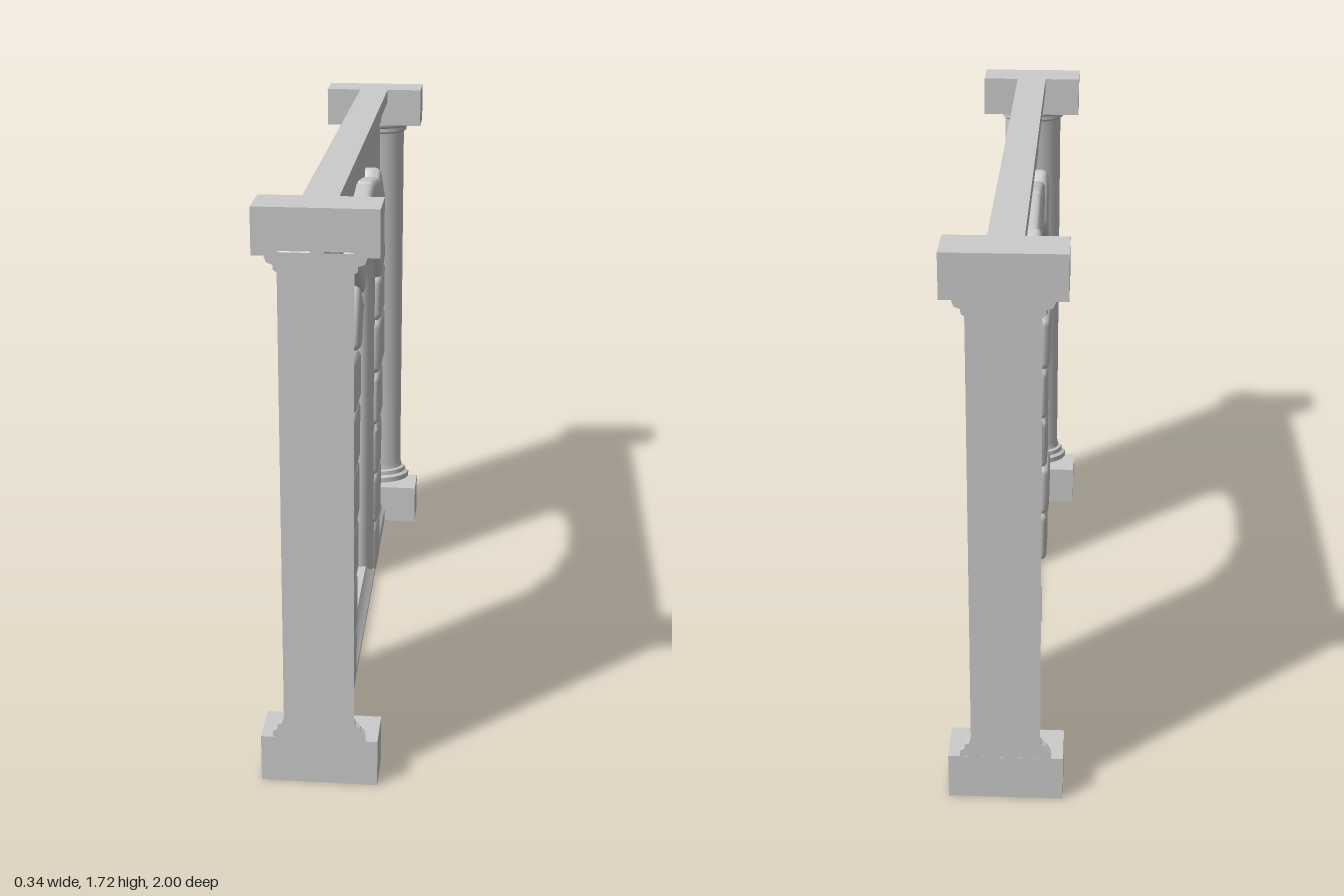
import * as THREE from 'three';
import { toCreasedNormals } from 'three/addons/utils/BufferGeometryUtils.js';

const mat = new THREE.MeshStandardMaterial({ color: 0xcccccc });
const matDouble = new THREE.MeshStandardMaterial({ color: 0xcccccc, side: THREE.DoubleSide });

const WALL = 0.018; // half thickness of the wall
const vecs = (pts) => pts.map(([a, b]) => new THREE.Vector2(a, b));

function add(parent, name, geo, material = mat) {
  const mesh = new THREE.Mesh(geo, material);
  mesh.name = name;
  parent.add(mesh);
  return mesh;
}

// Extrude a half profile (x, y), mirrored in x, from z0 to z1
function prism(half, z0, z1) {
  const other = half.map(([x, y]) => [-x, y]).reverse();
  const geo = new THREE.ExtrudeGeometry(new THREE.Shape(vecs([...half, ...other])), { depth: z1 - z0, bevelEnabled: false });
  geo.translate(0, 0, z0);
  return toCreasedNormals(geo, 0.5);
}

// Half of the door arch (z, y), inner edge
const ARCH = [[0.33, 0], [0.33, 0.55], [0.33, 1.13], [0.273, 1.25], [0.193, 1.315], [0.075, 1.372]];

// Full arch outline pushed outwards by d
function archOutline(d) {
  const half = ARCH.map(([z, y]) => {
    const dy = Math.max(0, y - 1.08), l = Math.hypot(z, dy);
    return [z + (d * z) / l, y + (d * dy) / l];
  });
  return [...half, ...half.map(([z, y]) => [-z, y]).reverse()];
}

// Closed shape with rounded corners
function roundedShape(pts, r) {
  const p = vecs(pts), s = new THREE.Shape();
  p.forEach((c, i) => {
    const toward = (q) => c.clone().add(q.clone().sub(c).setLength(r));
    const a = toward(p[(i + 3) % 4]), b = toward(p[(i + 1) % 4]);
    if (i) s.lineTo(a.x, a.y); else s.moveTo(a.x, a.y);
    s.quadraticCurveTo(c.x, c.y, b.x, b.y);
  });
  s.closePath();
  return s;
}

// Pillow-shaped stone standing out to x = top
function stoneGeometry(quad, top) {
  const b = 0.022;
  const geo = new THREE.ExtrudeGeometry(roundedShape(quad, 0.026), {
    depth: top - 2 * b, bevelEnabled: true, bevelThickness: b, bevelSize: b, bevelOffset: -b, bevelSegments: 4, curveSegments: 4,
  });
  geo.translate(0, 0, b);
  geo.rotateY(Math.PI / 2);
  return toCreasedNormals(geo, 0.7);
}

// Stones of half the surround: corners as (z, y)
const STONES = [
  ...[[0.55, 0, 0.195], [0.573, 0.197, 0.39], [0.55, 0.392, 0.585], [0.556, 0.588, 0.782], [0.605, 0.785, 0.98]]
    .map(([w, y0, y1]) => [[0.382, y0], [w, y0], [w, y1], [0.382, y1]]),
  [[0.386, 0.982], [0.566, 0.982], [0.563, 1.165], [0.39, 1.143]],
  [[0.392, 1.135], [0.555, 1.183], [0.442, 1.36], [0.312, 1.27]],
  [[0.33, 1.285], [0.485, 1.425], [0.295, 1.56], [0.177, 1.39]],
  [[0.178, 1.385], [0.255, 1.53], [0.003, 1.57], [0.003, 1.403]],
];

function surround(name, topOf) {
  const g = new THREE.Group();
  g.name = name;
  STONES.forEach((quad, i) => {
    for (const s of [1, -1]) {
      const q = quad.map(([z, y]) => [s * z, y]);
      add(g, 'archStone', stoneGeometry(s > 0 ? q : q.reverse(), topOf(i)));
    }
  });
  return g;
}

// Smooth curved lining of the doorway
function liningGeometry() {
  const section = [[-0.045, 0.06], [-0.038, 0.035], [-0.026, 0.012], [0, 0], [0.026, 0.012], [0.038, 0.035], [0.045, 0.06]];
  const rows = section.map(([, d]) => archOutline(d));
  const n = rows[0].length;
  const geo = new THREE.PlaneGeometry(1, 1, n - 1, section.length - 1);
  const pos = geo.attributes.position;
  rows.forEach((row, j) => row.forEach(([z, y], i) => pos.setXYZ(j * n + i, section[j][0], y, z)));
  geo.computeVertexNormals();
  return geo;
}

// Half column with its flat end at z = 1
function column(notched) {
  const g = new THREE.Group();
  g.name = notched ? 'frontColumn' : 'backColumn';
  const profile = [[0.135, 0.14], [0.135, 0.165], [0.122, 0.172], [0.12, 0.188], [0.108, 0.192], [0.102, 0.215],
    [0.102, 1.545], [0.112, 1.552], [0.112, 1.565], [0.13, 1.572], [0.14, 1.6]];
  const shaft = new THREE.LatheGeometry(vecs(profile), 20, Math.PI / 2, Math.PI);
  shaft.scale(1, 1, 0.72);
  shaft.translate(0, 0, 1);
  add(g, 'columnShaft', toCreasedNormals(shaft, 0.5));

  const outline = [...profile, ...profile.map(([x, y]) => [-x, y]).reverse()];
  const end = new THREE.ShapeGeometry(new THREE.Shape(vecs(outline)));
  end.translate(0, 0, 0.9995);
  add(g, 'columnEnd', end, matDouble);

  const plinth = [[0.17, 0], [0.17, 0.145]];
  const cap = [[0.17, 1.59], [0.17, 1.72]];
  add(g, 'columnPlinth', prism(plinth, 0.86, 1));
  add(g, 'columnCapital', prism(cap, 0.86, notched ? 0.95 : 1));
  // Wedge-shaped recess in the end of the capital
  if (notched) add(g, 'capitalEnd', prism([[0.015, 1.705], [0.11, 1.59], ...cap], 0.95, 1));
  return g;
}

export function createModel() {
  const model = new THREE.Group();
  model.name = 'archedDoorWall';

  // Wall panel with the door opening
  const opening = archOutline(0.058);
  const wallShape = new THREE.Shape(vecs([[0.95, 0], [0.95, 1.7], [-0.95, 1.7], [-0.95, 0], ...opening.slice().reverse()]));
  const wall = new THREE.ExtrudeGeometry(wallShape, { depth: 2 * WALL, bevelEnabled: false });
  wall.translate(0, 0, -WALL);
  wall.rotateY(Math.PI / 2);
  add(model, 'wallPanel', wall);
  add(model, 'doorLining', liningGeometry(), matDouble);

  // Moulded top beam, skirting and threshold
  add(model, 'topBeam', prism([[0.015, 1.6], [0.026, 1.605], [0.028, 1.625], [0.034, 1.65], [0.045, 1.67], [0.05, 1.675], [0.05, 1.72]], -0.9, 0.9));
  const skirting = [[0.05, 0], [0.05, 0.05], [0.038, 0.06], [0.032, 0.09], [0.026, 0.115], [0.015, 0.122]];
  add(model, 'skirting', prism(skirting, 0.4, 0.9));
  add(model, 'skirting', prism(skirting, -0.9, -0.4));
  add(model, 'threshold', prism([[0.05, 0], [0.05, 0.015], [0.035, 0.028], [0.02, 0.05]], -0.4, 0.4));

  // Stone surrounds on both faces
  model.add(surround('leftSurround', (i) => 0.055 + 0.0025 * i));
  const right = surround('rightSurround', (i) => (i === 8 ? 0.07 : i === 4 || i === 1 ? 0.085 : 0.078));
  right.rotation.y = Math.PI;
  model.add(right);

  // Scattered shallow bricks on the right face
  const bricks = new THREE.Group();
  bricks.name = 'bricks';
  const rowH = 0.163;
  for (let row = 0; row < 9; row++) {
    const inner = row < 7 ? 0.45 : row === 7 ? 0.38 : 0.25;
    const split = row % 2 ? 0.76 : 0.66;
    for (const s of [1, -1]) {
      [[inner, split], [split, 0.92]].forEach(([a, b], k) => {
        if ((row * 3 + k * 2 + (s > 0 ? 1 : 0)) % 4 === 0) return;
        const brick = add(bricks, 'brick', new THREE.BoxGeometry(0.012, rowH - 0.012, b - a - 0.012));
        brick.position.set(-WALL, 0.13 + rowH * (row + 0.5), (s * (a + b)) / 2);
      });
    }
  }
  model.add(bricks);

  // Columns at both ends
  model.add(column(true));
  const back = column(false);
  back.rotation.y = Math.PI;
  model.add(back);
  return model;
}
